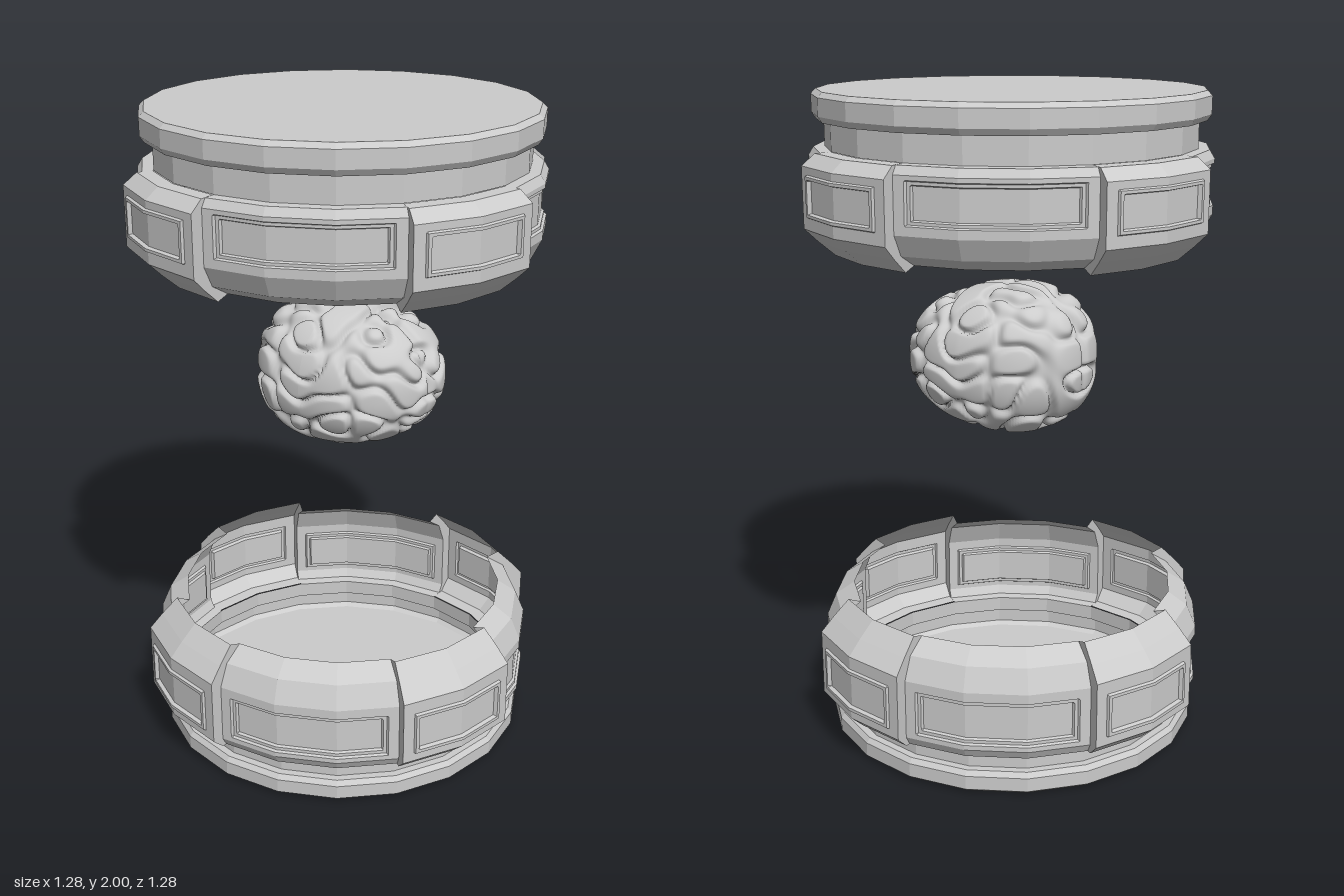
import * as THREE from 'three';

const DEG = Math.PI / 180;
const hard = new THREE.MeshStandardMaterial({ color: 0xcccccc, flatShading: true, side: THREE.DoubleSide });
const soft = new THREE.MeshStandardMaterial({ color: 0xcccccc });

// Radius at angle t (degrees) of a 20-sided polygon with corner radius r
const facet = (r, t) => r * Math.cos(9 * DEG) / Math.cos((((t % 18) + 18) % 18 - 9) * DEG);

// Surface through a rows x cols grid of points
function gridMesh(name, rows, cols, point, flip) {
  const pos = [], index = [];
  for (let i = 0; i < rows; i++) for (let j = 0; j < cols; j++) pos.push(...point(i, j));
  for (let i = 0; i < rows - 1; i++) {
    for (let j = 0; j < cols - 1; j++) {
      const a = i * cols + j, b = a + 1, c = a + cols, d = c + 1;
      if (flip) index.push(a, d, c, a, b, d);
      else index.push(a, c, d, a, d, b);
    }
  }
  const geo = new THREE.BufferGeometry();
  geo.setAttribute('position', new THREE.Float32BufferAttribute(pos, 3));
  geo.setIndex(index);
  geo.computeVertexNormals();
  const mesh = new THREE.Mesh(geo, hard);
  mesh.name = name;
  return mesh;
}

// Profiles as [radius, height]
const capProfile = [[0, 0], [0.572, 0], [0.587, 0.012], [0.587, 0.055], [0.575, 0.07], [0.552, 0.07], [0.552, 0.12]];
const ringProfile = [[0.55, 0.12], [0.585, 0.122], [0.60, 0.15], [0.60, 0.335], [0.57, 0.405], [0.51, 0.445]];
const blockProfile = [[0.555, 0.12], [0.60, 0.122], [0.64, 0.16], [0.64, 0.365], [0.60, 0.41], [0.55, 0.46]];

// Heights of the upper half: slightly thicker cap, lower band, turned over
function upperY(y) {
  if (y <= 0.07) return 2 - y * 0.085 / 0.07;
  if (y <= 0.12) return 2 - (0.085 + (y - 0.07) * 1.6);
  return 2 - (0.165 + (y - 0.12) * 0.295 / 0.34);
}

function polar(r, y, t, mapY) {
  const R = facet(r, t);
  return [R * Math.cos(t * DEG), mapY(y), R * Math.sin(t * DEG)];
}

// Band section from angle t0 to t1 with a framed panel on its flat face
function panelSection(name, profile, t0, t1, panel, mapY, flip) {
  const { margin, y0, y1, levels } = panel;
  const steps = [0, 0.004, 0.014, 0.018];
  const rows = profile.map(([r, y]) => ({ r, y, level: 0 }));
  const r = profile[2][0];
  rows.splice(3, 0,
    ...steps.map((s, k) => ({ r, y: y0 + s, level: k })),
    ...steps.map((s, k) => ({ r, y: y1 - s, level: k })).reverse());
  const cols = [{ t: t0, level: 0 }, { t: t1, level: 0 }];
  steps.forEach((s, k) => {
    const d = margin + s / r / DEG;
    cols.push({ t: t0 + d, level: k }, { t: t1 - d, level: k });
  });
  for (let t = t0 + 18; t < t1; t += 18) cols.push({ t, level: 3 });
  cols.sort((a, b) => a.t - b.t);
  return gridMesh(name, rows.length, cols.length, (i, j) => {
    const level = Math.min(rows[i].level, cols[j].level);
    return polar(rows[i].r + levels[level], rows[i].y, cols[j].t, mapY);
  }, flip);
}

// One half of the case: cap, neck and a band of alternating panels and blocks
function caseHalf(name, mapY, flip) {
  const half = new THREE.Group();
  half.name = name;
  half.add(gridMesh('capAndNeck', capProfile.length, 21,
    (i, j) => polar(...capProfile[i], j * 18, mapY), flip));
  const ringPanel = { margin: 3, y0: 0.165, y1: 0.305, levels: [0, -0.008, -0.008, -0.016] };
  const blockPanel = { margin: 3.2, y0: 0.185, y1: 0.325, levels: [0, 0.008, 0.008, -0.004] };
  for (let k = 0; k < 4; k++) {
    const t = k * 90;
    half.add(panelSection('raisedBlock', blockProfile, t, t + 36, blockPanel, mapY, flip));
    half.add(panelSection('bandPanel', ringProfile, t + 36, t + 90, ringPanel, mapY, flip));
    // End walls between block and band
    [t, t + 36].forEach((a, e) => half.add(gridMesh('blockEnd', 6, 2,
      (i, j) => polar(...(j ? blockProfile : ringProfile)[i], a, mapY), flip !== (e === 1))));
  }
  return half;
}

// Folded brain: a shaped sphere with winding grooves
function brain() {
  let seed = 7;
  const rand = () => (seed = (seed * 16807) % 2147483647) / 2147483647;
  const waves = [];
  for (let i = 0; i < 14; i++) {
    const z = rand() * 2 - 1, a = rand() * 2 * Math.PI, s = Math.sqrt(1 - z * z);
    waves.push([new THREE.Vector3(s * Math.cos(a), s * Math.sin(a), z).multiplyScalar(52), rand() * 6.28]);
  }
  const geo = new THREE.SphereGeometry(1, 200, 140);
  const pos = geo.attributes.position;
  const v = new THREE.Vector3(), q = new THREE.Vector3(), n = new THREE.Vector3();
  for (let i = 0; i < pos.count; i++) {
    v.fromBufferAttribute(pos, i).normalize();
    n.copy(v);
    // Slightly boxy ovoid, lower towards the front and flatter below
    const p = 2.3;
    const m = Math.pow(Math.abs(v.x) ** p + Math.abs(v.y) ** p + Math.abs(v.z) ** p, -1 / p);
    v.multiplyScalar(m);
    v.set(v.x * 0.252, v.y * (v.y > 0 ? 0.225 : 0.21), v.z * 0.285);
    v.x *= 1 - 0.12 * Math.max(0, n.z);
    v.y -= 0.035 * n.z * (n.y > 0 ? n.y : n.y * 0.8);
    // Mirrored folds with a groove between the two hemispheres
    q.set(Math.abs(v.x), v.y, v.z);
    let f = 0;
    for (const [k, phase] of waves) f += Math.cos(k.dot(q) + phase);
    f /= Math.sqrt(waves.length / 2);
    const fold = 1 - Math.exp(-f * f * 5);
    const split = Math.exp(-((v.x / 0.012) ** 2)) * THREE.MathUtils.smoothstep(n.y, -0.5, 0.2);
    v.addScaledVector(n, -0.012 + 0.022 * fold - 0.015 * split);
    pos.setXYZ(i, v.x + 0.01, v.y + 1.187, v.z + 0.03);
  }
  geo.computeVertexNormals();
  const mesh = new THREE.Mesh(geo, soft);
  mesh.name = 'brain';
  return mesh;
}

export function createModel() {
  const model = new THREE.Group();
  model.name = 'brainCase';
  model.add(caseHalf('lowerCase', y => y, false), caseHalf('upperCase', upperY, true), brain());
  return model;
}
